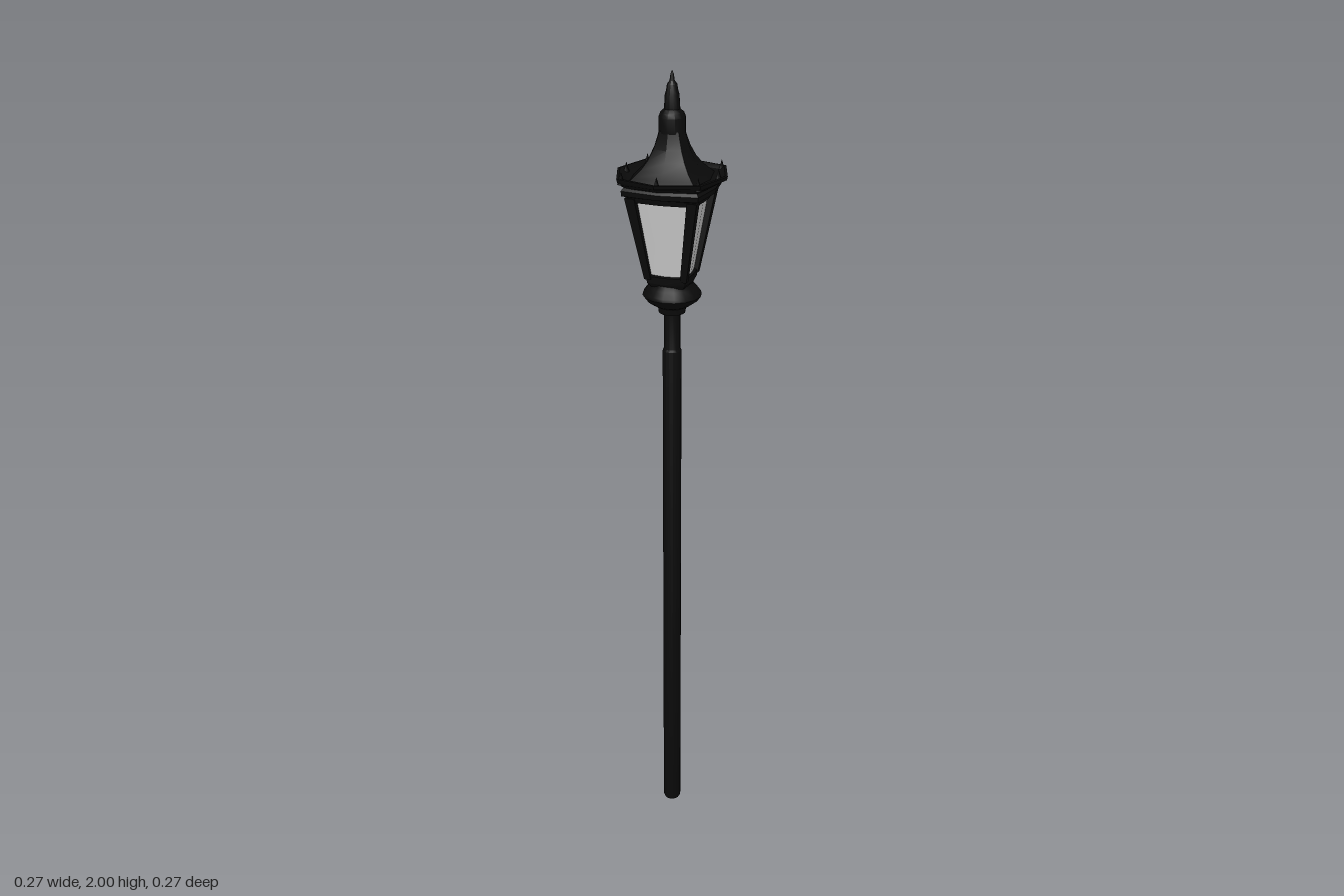
import * as THREE from 'three';
import { toCreasedNormals } from 'three/addons/utils/BufferGeometryUtils.js';

const iron = new THREE.MeshStandardMaterial({ color: 0x0a0a0a });
const glass = new THREE.MeshStandardMaterial({ color: 0xcccccc });

// Closed solid skinned over rings of [x, y, z] points, listed from bottom to top
function loft(rings) {
  const n = rings[0].length, pos = rings.flat(2), index = [];
  for (let i = 0; i < rings.length - 1; i++)
    for (let j = 0; j < n; j++) {
      const k = (j + 1) % n, a = i * n + j, b = i * n + k;
      index.push(a, b, b + n, a, b + n, a + n);
    }
  const top = (rings.length - 1) * n;
  for (let j = 1; j < n - 1; j++) index.push(0, j + 1, j, top, top + j, top + j + 1);
  const g = new THREE.BufferGeometry();
  g.setAttribute('position', new THREE.Float32BufferAttribute(pos, 3));
  g.setIndex(index);
  return toCreasedNormals(g, 0.5);
}

// Eight-point section: r towards the sides, r * k towards the corners
function bowedSquare([y, r, k]) {
  return Array.from({ length: 8 }, (_, j) => {
    const a = (j * Math.PI) / 4, d = j % 2 ? r * k : r;
    return [d * Math.cos(a), y, -d * Math.sin(a)];
  });
}

// Square section with its centre moved c outwards along x and z
function postSection([y, c, h]) {
  return [[h, h], [h, -h], [-h, -h], [-h, h]].map(([x, z]) => [c + x, y, c + z]);
}

function turned(points, sides) {
  const g = new THREE.LatheGeometry(points.map(([r, y]) => new THREE.Vector2(r, y)), sides);
  return toCreasedNormals(g, 0.6);
}

export function createModel() {
  const model = new THREE.Group();
  const add = (name, geometry, material = iron, parent = model) => {
    const mesh = new THREE.Mesh(geometry, material);
    mesh.name = name;
    parent.add(mesh);
    return mesh;
  };

  // Pole, slightly slimmer near the top
  add('pole', turned([[0, 0], [0.02, 0], [0.023, 0.008], [0.023, 1.33], [0.02, 1.335], [0.02, 1.44], [0, 1.44]], 16));

  // Bulging collar carrying the lantern
  add('collar', turned([
    [0, 1.428], [0.032, 1.428], [0.034, 1.443], [0.048, 1.45], [0.062, 1.46], [0.071, 1.472],
    [0.069, 1.48], [0.058, 1.494], [0.051, 1.502], [0.049, 1.51], [0, 1.51],
  ], 16));
  add('lanternBase', loft([[1.5, 0.047, 1.2], [1.51, 0.053, 1.25], [1.527, 0.053, 1.3], [1.53, 0.046, 1.3]].map(bowedSquare)));

  // Glass box and its four leaning corner posts
  add('glass', loft([[1.525, 0.047, 1.25], [1.72, 0.079, 1.25]].map(bowedSquare)), glass);
  const posts = new THREE.Group();
  posts.name = 'cornerPosts';
  model.add(posts);
  for (let i = 0; i < 4; i++) {
    const post = add('cornerPost', loft([[1.52, 0.044, 0.008], [1.72, 0.075, 0.012]].map(postSection)), iron, posts);
    post.rotation.y = (i * Math.PI) / 2;
  }

  // Cornice above the glass
  add('cornice', loft([
    [1.71, 0.087, 1.3], [1.722, 0.09, 1.29], [1.726, 0.104, 1.25], [1.738, 0.106, 1.24], [1.748, 0.098, 1.24],
  ].map(bowedSquare)));

  // Flared brim with a raised lip
  add('brim', loft([
    [1.742, 0.098, 1.22], [1.752, 0.118, 1.13], [1.759, 0.132, 1.06], [1.767, 0.134, 1.06],
    [1.768, 0.128, 1.06], [1.76, 0.112, 1.13], [1.757, 0.095, 1.18],
  ].map(bowedSquare)));

  // Small upright points around the brim
  const points = new THREE.Group();
  points.name = 'brimPoints';
  model.add(points);
  for (let i = 0; i < 8; i++) {
    const a = (i * Math.PI) / 4, r = i % 2 ? 0.13 : 0.112;
    const point = add('brimPoint', new THREE.ConeGeometry(0.009, 0.03, 6), iron, points);
    point.position.set(r * Math.cos(a), 1.768, r * Math.sin(a));
  }

  // Concave roof
  add('roof', loft([
    [1.752, 0.098, 1.2], [1.765, 0.084, 1.19], [1.78, 0.069, 1.17], [1.8, 0.055, 1.14],
    [1.825, 0.043, 1.11], [1.85, 0.035, 1.08], [1.865, 0.031, 1.06],
  ].map(bowedSquare)));

  // Stepped finial ending in a spike
  add('finial', turned([
    [0, 1.85], [0.032, 1.86], [0.032, 1.895], [0.028, 1.905], [0.019, 1.913], [0.017, 1.945],
    [0.014, 1.955], [0.012, 1.968], [0.006, 1.976], [0.004, 1.99], [0, 2],
  ], 12));

  return model;
}
